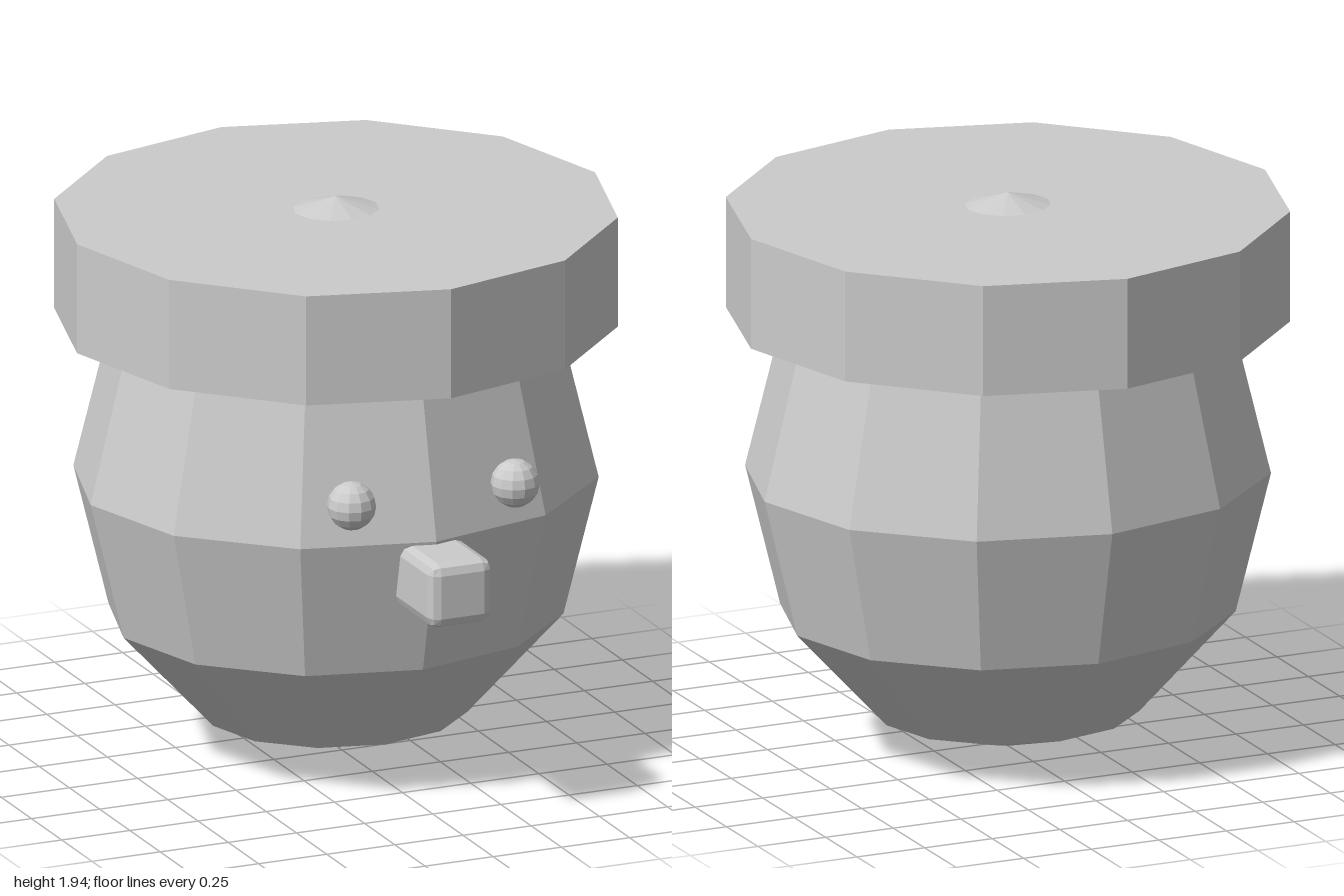
import * as THREE from 'three';
import { RoundedBoxGeometry } from 'three/addons/geometries/RoundedBoxGeometry.js';

export function createModel() {
  const model = new THREE.Group();
  const material = new THREE.MeshStandardMaterial({ color: 0xcccccc, flatShading: true });

  const add = (name, geometry, x, y, z) => {
    const mesh = new THREE.Mesh(geometry, material);
    mesh.name = name;
    mesh.position.set(x, y, z);
    model.add(mesh);
    return mesh;
  };

  // Low-poly egg-shaped head, its tip poking through the hat
  const head = new THREE.SphereGeometry(1, 12, 6).scale(0.9, 0.97, 0.83);
  add('head', head, 0, 0.97, -0.05);

  // Flat twelve-sided hat
  add('hat', new THREE.CylinderGeometry(0.95, 0.95, 0.385, 12), 0, 1.705, -0.05);

  // Bead eyes
  for (const [name, side] of [['leftEye', 1], ['rightEye', -1]]) {
    add(name, new THREE.SphereGeometry(0.083, 12, 8), side * 0.3, 1.13, 0.755);
  }

  // Chamfered block nose, sunk into the face
  add('nose', new RoundedBoxGeometry(0.23, 0.225, 0.4, 1, 0.037), 0, 0.847, 0.8);

  return model;
}
